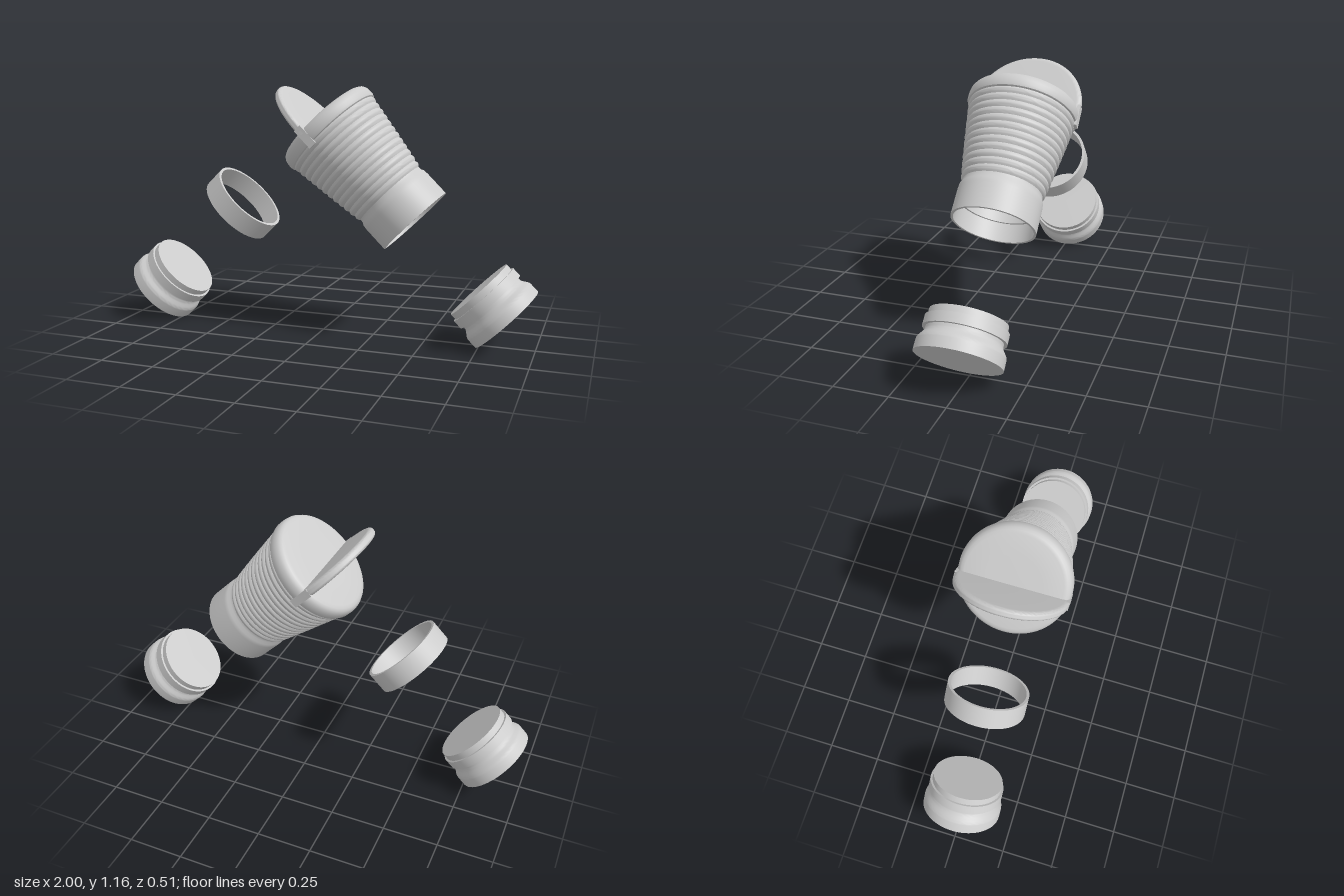
import * as THREE from 'three';
import { toCreasedNormals } from 'three/addons/utils/BufferGeometryUtils.js';

const TILT = Math.PI / 4;

export function createModel() {
  const model = new THREE.Group();
  const grey = new THREE.MeshStandardMaterial({ color: 0xcccccc });
  grey.name = 'lightGrey';

  const add = (parent, name, geometry) => {
    const mesh = new THREE.Mesh(toCreasedNormals(geometry, 0.6), grey);
    mesh.name = name;
    parent.add(mesh);
    return mesh;
  };
  // Profile points are [radius, height], listed counterclockwise
  const lathe = (points) =>
    new THREE.LatheGeometry(points.map(([r, h]) => new THREE.Vector2(r, h)), 72);
  const tilted = (name, x, y, angle) => {
    const group = new THREE.Group();
    group.name = name;
    group.position.set(x, y, 0);
    group.rotation.z = angle;
    model.add(group);
    return group;
  };

  // Cup: its axis leans up to the left, its mouth opens down to the right
  const cup = tilted('cup', 0.705 * Math.SQRT1_2, 0.705 * Math.SQRT1_2, TILT);

  // Ribbed, tapering wall with a smooth collar and an inner ledge
  const ribs = 12, steps = 6, start = 0.25, end = 0.635;
  const outer = [], inner = [];
  for (let i = 0; i <= ribs * steps; i++) {
    const f = i / (ribs * steps);
    const wave = 0.007 * Math.abs(Math.sin(f * ribs * Math.PI));
    const r = 0.179 + 0.062 * Math.pow(f, 0.9) + wave;
    const h = start + (end - start) * f;
    outer.push([r, h]);
    inner.unshift([r - 0.012, h]);
  }
  add(cup, 'ribbedWall', lathe([
    [0.178, 0.079], [0.189, 0.079], [0.189, 0.2], [0.187, 0.222], [0.18, 0.236],
    ...outer, ...inner,
    [0.168, 0.225], [0.168, 0.168], [0.178, 0.168], [0.178, 0.079],
  ]));

  // Lid with a rounded rim
  add(cup, 'lid', lathe([
    [0, 0.63], [0.244, 0.63], [0.251, 0.634], [0.255, 0.645], [0.255, 0.665],
    [0.252, 0.682], [0.245, 0.694], [0.235, 0.701], [0.22, 0.705], [0.12, 0.706], [0, 0.707],
  ]));

  // Half-disc flap standing upright on the lid
  const bevel = 0.022;
  const half = new THREE.Shape();
  half.absarc(0, 0, 0.256 - bevel, 0, Math.PI, false);
  half.closePath();
  const flapGeometry = new THREE.ExtrudeGeometry(half, {
    depth: 0.012, bevelEnabled: true, bevelSize: bevel, bevelThickness: 0.014,
    bevelSegments: 5, curveSegments: 48,
  });
  flapGeometry.translate(0, 0, -0.006);
  flapGeometry.rotateY(Math.PI / 2);
  add(cup, 'raisedFlap', flapGeometry).position.set(-0.035, 0.705, 0);

  // Hinge tabs at both ends of the flap
  for (const side of [1, -1]) {
    add(cup, 'hingeTab', new THREE.BoxGeometry(0.038, 0.105, 0.025))
      .position.set(-0.035, 0.667, side * 0.2435);
  }

  // Loose sealing ring
  const ring = tilted('sealingRing', -0.414, 0.596, -TILT);
  add(ring, 'ringBand', lathe([
    [0.175, -0.049], [0.188, -0.049], [0.188, 0.049], [0.175, 0.049], [0.175, -0.049],
  ]));

  // Two mirrored end caps with a grooved waist and a stepped flange
  const capProfile = [[0, 0], [0.188, 0], [0.188, 0.045]];
  for (let i = 1; i <= 8; i++) {
    const a = (i / 8) * Math.PI / 2;
    capProfile.push([0.188 - 0.024 * Math.sin(a) ** 2, 0.045 + 0.05 * (i / 8)]);
  }
  capProfile.push([0.164, 0.106], [0.178, 0.106], [0.178, 0.15],
    [0.168, 0.15], [0.168, 0.181], [0, 0.181]);
  for (const side of [1, -1]) {
    const cap = tilted(side > 0 ? 'leftEndCap' : 'rightEndCap', side * 0.868, 0.133, side * TILT);
    add(cap, 'capBody', lathe(capProfile));
  }

  return model;
}
